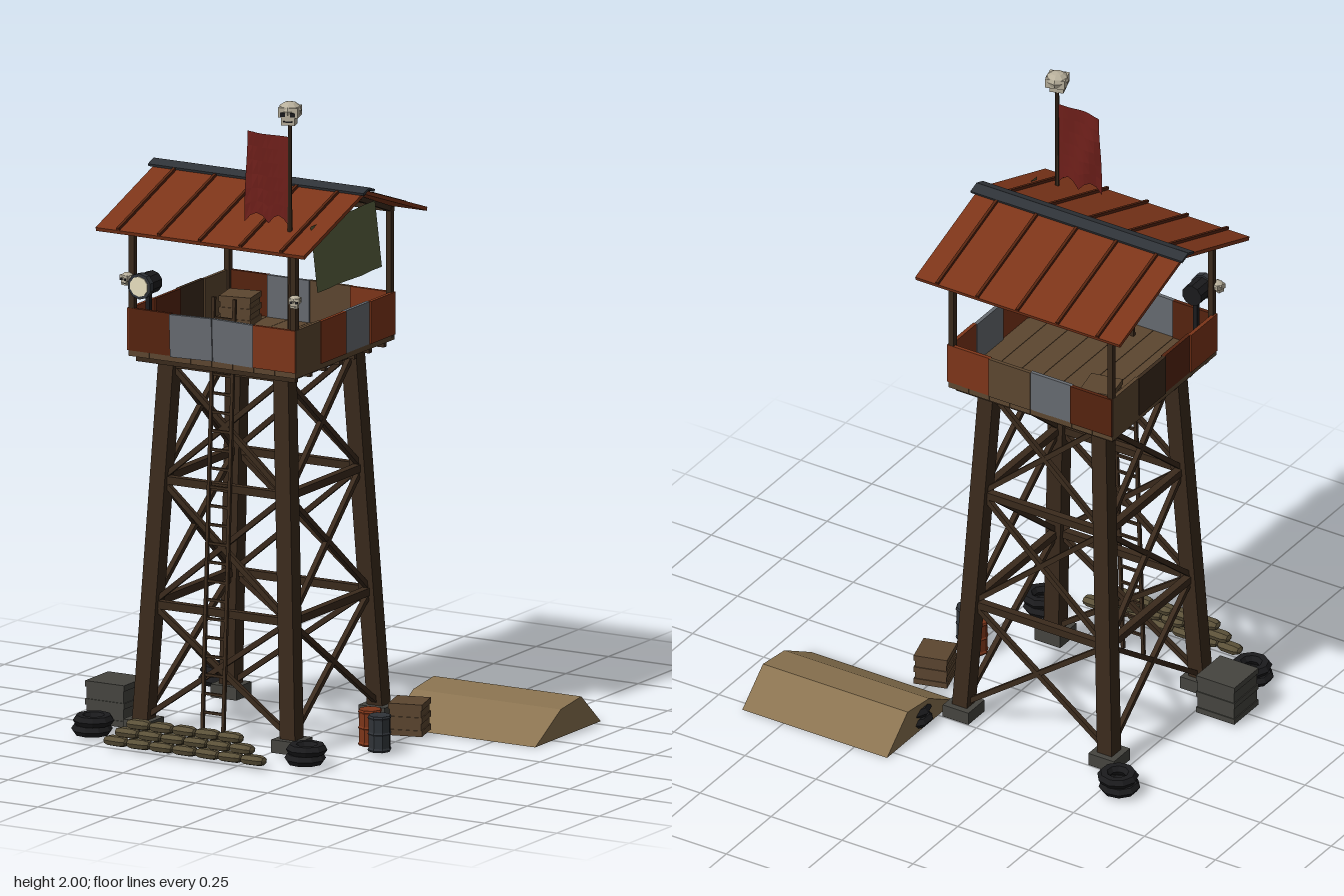
import * as THREE from 'three';

const mat = (color, side = THREE.FrontSide) =>
  new THREE.MeshStandardMaterial({ color, side, flatShading: true, roughness: 0.9 });
const WOOD = mat(0x3a2a1c), PLANK = mat(0x5c4630), RUST = mat(0x7d3519), DARKRUST = mat(0x55230f),
  STEEL = mat(0x666a70), SLATE = mat(0x2f3338), BLACK = mat(0x1b1b1d), BONE = mat(0xb8b09c),
  SAND = mat(0x8a7350), BAG = mat(0x5a5038), GREY = mat(0x45443f), LENS = mat(0xe8e0c0),
  TARP = mat(0x59613f, THREE.DoubleSide), CLOTH = mat(0x6e1f1a, THREE.DoubleSide);

export function createModel() {
  const root = new THREE.Group();
  root.name = 'watchtower';
  const CX = -0.19, CZ = 0.04; // tower axis
  const v = (x, y, z) => new THREE.Vector3(x, y, z);

  const add = (name, geo, m, x = 0, y = 0, z = 0, parent = root) => {
    const mesh = new THREE.Mesh(geo, m);
    mesh.name = name;
    mesh.position.set(x, y, z);
    parent.add(mesh);
    return mesh;
  };
  const box = (name, m, w, h, d, x, y, z, parent) =>
    add(name, new THREE.BoxGeometry(w, h, d), m, x, y, z, parent);
  const group = (name, x = 0, y = 0, z = 0) => {
    const g = new THREE.Group();
    g.name = name;
    g.position.set(x, y, z);
    root.add(g);
    return g;
  };
  // Square timber between two points
  const beam = (name, a, b, t, m = WOOD, parent = root) => {
    const dir = b.clone().sub(a), c = a.clone().add(b).multiplyScalar(0.5);
    const mesh = box(name, m, t, dir.length(), t, c.x, c.y, c.z, parent);
    mesh.quaternion.setFromUnitVectors(v(0, 1, 0), dir.normalize());
    return mesh;
  };

  // Splayed legs: half spread shrinks with height
  const half = y => 0.258 - 0.052 * y;
  const corner = (i, y) => {
    const sx = [1, 1, -1, -1][i % 4], sz = [1, -1, -1, 1][i % 4];
    return v(CX + sx * half(y), y, CZ + sz * half(y));
  };
  const levels = [0.05, 0.4, 0.78, 1.135];
  for (let i = 0; i < 4; i++) {
    beam('leg', corner(i, 0.03), corner(i, 1.165), 0.052);
    const f = corner(i, 0.03);
    box('footing', GREY, 0.09, 0.04, 0.09, f.x, 0.03, f.z);
    levels.forEach((y, k) => {
      if (k === 0) return;
      beam('crossBeam', corner(i, y), corner(i + 1, y), 0.024);
      beam('diagonalBrace', corner(i, levels[k - 1]), corner(i + 1, y), 0.016);
      beam('diagonalBrace', corner(i + 1, levels[k - 1]), corner(i, y), 0.016);
    });
  }

  // Platform
  for (let i = 0; i < 7; i++)
    box('joist', WOOD, 0.55, 0.016, 0.016, CX, 1.152, CZ - 0.26 + i * 0.0867);
  for (let i = 0; i < 8; i++)
    box('floorPlank', PLANK, 0.071, 0.018, 0.58, CX - 0.254 + i * 0.0725, 1.172, CZ);

  // Parapet: four patchwork panels on each side
  const sides = [
    [DARKRUST, STEEL, STEEL, RUST],  // front
    [PLANK, RUST, STEEL, RUST],      // left
    [RUST, PLANK, STEEL, DARKRUST],  // back
    [PLANK, WOOD, DARKRUST, RUST],   // right
  ];
  sides.forEach((mats, s) => {
    const g = group('parapet', CX, 1.245, CZ);
    g.rotation.y = s * Math.PI / 2;
    mats.forEach((m, i) => {
      const p = box('wallPanel', m, 0.146, 0.13, 0.012, -0.216 + i * 0.144, 0, 0.284 + (i % 2) * 0.004, g);
      p.rotation.z = s === 0 && m === STEEL ? (i === 1 ? 0.03 : -0.02) : 0;
    });
  });

  // Corner posts, wall plates and rafters
  for (const sx of [1, -1]) {
    for (const sz of [1, -1]) {
      const x = CX + sx * 0.28, z = CZ + sz * 0.28;
      beam('roofPost', v(x, 1.17, z), v(x, 1.565, z), 0.018);
      beam('rafter', v(x, 1.565, z), v(x, 1.67, CZ), 0.016);
    }
  }
  for (const sz of [1, -1])
    beam('wallPlate', v(CX - 0.29, 1.565, CZ + sz * 0.28), v(CX + 0.29, 1.565, CZ + sz * 0.28), 0.015);
  beam('ridgeBeam', v(CX - 0.34, 1.665, CZ), v(CX + 0.34, 1.665, CZ), 0.018);

  // Pitched sheet roof with ribs and ridge cap
  const pitch = Math.atan2(0.125, 0.36);
  for (const s of [1, -1]) {
    const g = group('roofSlope', CX, 1.62, CZ + s * 0.18);
    g.rotation.x = s * pitch;
    box('roofSheet', RUST, 0.72, 0.012, 0.383, 0, 0, 0, g);
    for (let i = -2; i <= 2; i++) box('roofRib', DARKRUST, 0.009, 0.012, 0.383, i * 0.141, 0.009, 0, g);
    const cap = box('ridgeCap', SLATE, 0.745, 0.008, 0.036, CX, 1.69, CZ + s * 0.016);
    cap.rotation.x = s * pitch;
  }

  // Tarp hung over the left gable
  const tarp = add('tarp', new THREE.PlaneGeometry(0.385, 0.2, 6, 3), TARP, 0.128, 1.52, 0.082);
  const tp = tarp.geometry.attributes.position;
  for (let i = 0; i < tp.count; i++) tp.setZ(i, 0.004 * Math.sin(tp.getX(i) * 30) - 0.12 * tp.getY(i));
  tarp.geometry.computeVertexNormals();
  tarp.rotation.y = Math.PI / 2;

  // Ladder leaning on the front
  const lz = y => 0.325 - 0.05 * y;
  for (const s of [1, -1])
    beam('ladderRail', v(CX + s * 0.036, 0.03, lz(0)), v(CX + s * 0.036, 1.36, lz(1.36)), 0.01);
  for (let y = 0.1; y < 1.33; y += 0.057) box('ladderRung', WOOD, 0.072, 0.008, 0.008, CX, y, lz(y));

  // Bone trophies
  const skull = (x, y, z, k, turn) => {
    const g = group('skull', x, y, z);
    g.scale.setScalar(k);
    g.rotation.y = turn;
    const cranium = add('cranium', new THREE.SphereGeometry(0.042, 8, 6), BONE, 0, 0.012, 0, g);
    cranium.scale.set(0.85, 0.6, 0.85);
    box('brow', BONE, 0.06, 0.03, 0.056, 0, 0.008, 0.002, g);
    box('jaw', BONE, 0.042, 0.026, 0.036, 0, -0.018, 0.01, g);
    for (const s of [1, -1]) box('eyeSocket', BLACK, 0.015, 0.013, 0.006, s * 0.015, 0.002, 0.029, g);
    box('mouth', BLACK, 0.03, 0.004, 0.006, 0, -0.02, 0.027, g);
  };
  skull(0.055, 1.963, 0.288, 1, 0.3);
  skull(0.1, 1.4, 0.335, 0.55, 0.3);
  skull(-0.48, 1.4, 0.335, 0.55, -0.3);

  // Flag pole and swallow-tailed banner
  add('flagPole', new THREE.CylinderGeometry(0.006, 0.008, 0.76, 6), WOOD, 0.055, 1.56, 0.288);
  const flag = add('banner', new THREE.PlaneGeometry(0.15, 0.26, 8, 6), CLOTH, -0.022, 1.76, 0.288);
  const fp = flag.geometry.attributes.position;
  for (let i = 0; i < fp.count; i++) {
    const x = fp.getX(i), y = fp.getY(i), low = (0.13 - y) / 0.26;
    const tooth = 0.03 * Math.abs(Math.sin((x + 0.075) / 0.15 * Math.PI * 2)) - 0.015;
    fp.setXYZ(i, x, y + tooth * low ** 4, 0.009 * Math.sin(x * 45 + y * 14) * (0.075 - x) / 0.15);
  }
  flag.geometry.computeVertexNormals();

  // Searchlight on the front right corner
  const lamp = group('searchlight', -0.43, 1.385, 0.305);
  for (const [n, m, r, l, z] of [['lampBody', BLACK, 0.034, 0.07, 0], ['lampRim', SLATE, 0.04, 0.02, 0.035],
    ['lampLens', LENS, 0.031, 0.006, 0.045]])
    add(n, new THREE.CylinderGeometry(r, r, l, 10), m, 0, 0, z, lamp).rotation.x = Math.PI / 2;
  box('lampStand', BLACK, 0.014, 0.2, 0.014, 0, -0.11, -0.01, lamp);

  // Crates with edge battens
  const crate = (m, s, h, x, y, z, turn) => {
    const g = group('crate', x, y, z);
    g.rotation.y = turn;
    box('crateBody', m, s - 0.006, h - 0.004, s - 0.006, 0, h / 2, 0, g);
    for (const t of [0.01, h / 2, h - 0.01]) box('crateBatten', m, s, 0.018, s, 0, t, 0, g);
  };
  crate(GREY, 0.135, 0.13, -0.582, 0.01, 0.228, 0);
  crate(PLANK, 0.104, 0.1, 0.247, 0.01, -0.088, 0.27);
  crate(PLANK, 0.1, 0.09, -0.37, 1.181, -0.14, 0.2);

  // Barrels
  for (const [m, x, z] of [[RUST, 0.224, 0.105], [SLATE, 0.287, 0.156]]) {
    const pts = [[0, 0], [0.034, 0], [0.037, 0.006], [0.034, 0.012], [0.034, 0.05], [0.037, 0.055], [0.034, 0.06],
      [0.034, 0.098], [0.037, 0.104], [0.034, 0.11], [0, 0.108]].map(p => new THREE.Vector2(...p));
    add('barrel', new THREE.LatheGeometry(pts, 8), m, x, 0.01, z);
  }

  // Tyre stacks
  for (const [x, z] of [[-0.555, -0.33], [-0.558, 0.41], [0.178, 0.408], [0.175, -0.33]])
    for (let k = 0; k < 2; k++) {
      const t = add('tyre', new THREE.TorusGeometry(0.043, 0.02, 6, 9), BLACK, x + k * 0.006, 0.026 + k * 0.03, z);
      t.rotation.set(Math.PI / 2, 0, k * 0.4);
      t.scale.z = 0.85;
    }

  // Sandbag wall
  for (let r = 0; r < 3; r++)
    for (let i = 0; i < 7 - r; i++) {
      const b = add('sandbag', new THREE.CapsuleGeometry(0.021, 0.045, 2, 7), BAG,
        -0.18 + (i - (6 - r) / 2) * 0.079, 0.026 + r * 0.03, 0.505);
      b.rotation.set(0, ((i * 3 + r) % 4 - 1.5) * 0.03, Math.PI / 2);
      b.scale.set(0.78, 0.96, 1.15);
    }

  // Earth mound: cross-section extruded along x
  const section = new THREE.Shape([[0.15, 0], [0.535, 0], [0.42, 0.1], [0.3, 0.085]]
    .map(p => new THREE.Vector2(...p)));
  const mound = add('earthMound', new THREE.ExtrudeGeometry(section, { depth: 0.51, bevelEnabled: false }),
    SAND, 0.135, 0, 0);
  mound.rotation.y = Math.PI / 2;

  return root;
}
